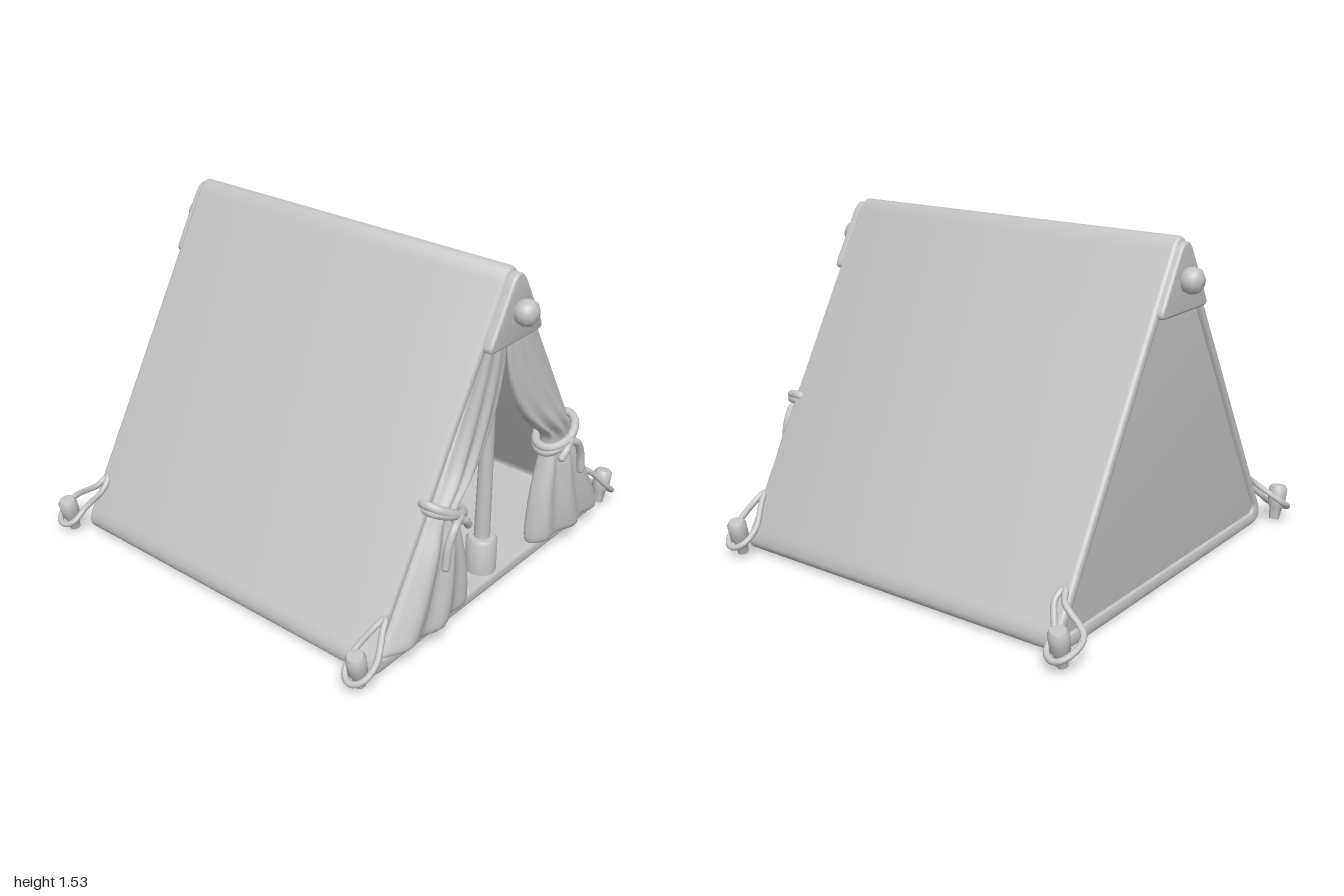
import * as THREE from 'three';
import { toCreasedNormals } from 'three/addons/utils/BufferGeometryUtils.js';

const SLOPE = 0.578; // half width gained per unit of height lost
const canvas = new THREE.MeshStandardMaterial({ color: 0xc4c4c4 });
canvas.name = 'plain grey';

function add(parent, name, geometry, x = 0, y = 0, z = 0) {
  const mesh = new THREE.Mesh(geometry, canvas);
  mesh.name = name;
  mesh.position.set(x, y, z);
  parent.add(mesh);
  return mesh;
}

// Triangle with rounded corners; base height, peak height, corner sizes
function roundTriangle(base, peak, top, corner, PathType = THREE.Shape) {
  const w = (peak - base) * SLOPE;
  const p = new PathType();
  p.moveTo(-w + corner, base);
  p.lineTo(w - corner, base);
  p.quadraticCurveTo(w, base, w - corner * SLOPE * 0.87, base + corner * 0.87);
  p.lineTo(top * SLOPE, peak - top);
  p.quadraticCurveTo(0, peak, -top * SLOPE, peak - top);
  p.lineTo(-w + corner * SLOPE * 0.87, base + corner * 0.87);
  p.quadraticCurveTo(-w, base, -w + corner, base);
  return p;
}

// Extrude a cross-section along x from x0 to x1
function alongX(shape, x0, x1, bevel) {
  const g = new THREE.ExtrudeGeometry(shape, {
    depth: x1 - x0 - 2 * bevel, bevelEnabled: true, bevelThickness: bevel,
    bevelSize: bevel, bevelOffset: -bevel, bevelSegments: 4, curveSegments: 14,
  });
  g.translate(0, 0, x0 + bevel);
  g.rotateY(Math.PI / 2);
  return toCreasedNormals(g, 0.7);
}

function rope(parent, name, points, radius, closed = false) {
  const curve = new THREE.CatmullRomCurve3(points.map((p) => new THREE.Vector3(...p)), closed);
  add(parent, name, new THREE.TubeGeometry(curve, 40, radius, 10, closed));
  if (!closed) {
    for (const p of [points[0], points[points.length - 1]]) {
      add(parent, name + 'End', new THREE.SphereGeometry(radius, 10, 8), ...p);
    }
  }
}

// Gathered curtain: lofted closed sections between the inner edge and the sloping rim
function curtainGeometry(side) {
  const edge = new THREE.CatmullRomCurve3([
    // bulge, height, inner edge
    [0.01, 1.25, 0.0], [0.02, 1.1, 0.015], [0.035, 0.95, 0.065], [0.05, 0.82, 0.14],
    [0.065, 0.72, 0.235], [0.065, 0.63, 0.335], [0.065, 0.57, 0.345], [0.08, 0.48, 0.325],
    [0.09, 0.33, 0.285], [0.095, 0.18, 0.265], [0.085, 0.11, 0.265], [0.0, 0.085, 0.29],
  ].map((p) => new THREE.Vector3(...p)));
  const rows = 48, half = 28, ring = half * 2;
  const pos = [], index = [];
  for (let r = 0; r <= rows; r++) {
    const p = edge.getPoint(r / rows);
    const bulge = Math.max(p.x, 0);
    const outer = 0.825 - (p.y - 0.1) * SLOPE;
    for (let i = 0; i < ring; i++) {
      const a = (i / ring) * Math.PI * 2;
      const u = 0.5 - 0.5 * Math.cos(a);
      const s = Math.sin(a);
      const front = s >= 0;
      const swell = Math.pow(Math.abs(s), 0.7);
      const fold = front ? 0.18 * bulge * Math.sin(u * 17 + p.y * 2) * swell : 0;
      const x = 0.85 + (front ? bulge * swell + fold : -bulge * 0.6 * swell);
      pos.push(x, p.y, side * (p.z + (outer - p.z) * u));
    }
  }
  for (let r = 0; r < rows; r++) {
    for (let i = 0; i < ring; i++) {
      const a = r * ring + i, b = r * ring + ((i + 1) % ring), c = a + ring, d = b + ring;
      if (side > 0) index.push(a, b, c, b, d, c);
      else index.push(a, c, b, b, c, d);
    }
  }
  const g = new THREE.BufferGeometry();
  g.setAttribute('position', new THREE.Float32BufferAttribute(pos, 3));
  g.setIndex(index);
  g.computeVertexNormals();
  return g;
}

function curtain(side) {
  const group = new THREE.Group();
  group.name = side > 0 ? 'frontCurtain' : 'rearCurtain';
  add(group, 'curtainCloth', curtainGeometry(side));
  // Two wraps of the tie around the bundle
  for (const tilt of [0.035, 0.06]) {
    const loop = [];
    for (let i = 0; i < 12; i++) {
      const a = (i / 12) * Math.PI * 2;
      loop.push([0.86 + 0.078 * Math.sin(a), 0.615 + tilt * Math.cos(a), side * (0.425 + 0.1 * Math.cos(a))]);
    }
    rope(group, 'curtainTie', loop, 0.02, true);
  }
  // Knot and hanging ends
  add(group, 'tieKnot', new THREE.SphereGeometry(0.03, 16, 12), 0.935, 0.6, side * 0.42);
  rope(group, 'tieTail', [[0.94, 0.6, side * 0.41], [0.955, 0.58, side * 0.46],
    [0.955, 0.51, side * 0.5], [0.955, 0.415, side * 0.515]], 0.018);
  rope(group, 'tieTail', [[0.94, 0.6, side * 0.43], [0.95, 0.57, side * 0.38], [0.945, 0.54, side * 0.355]], 0.018);
  return group;
}

// Ground peg with the guy rope looped around it
function cornerPeg(sx, sz) {
  const group = new THREE.Group();
  group.name = 'cornerPeg';
  const px = sx > 0 ? 0.845 : -0.94, ax = sx > 0 ? 0.85 : -0.85;
  const profile = [[0, 0], [0.024, 0.004], [0.03, 0.06], [0.042, 0.08], [0.044, 0.155], [0.034, 0.172], [0, 0.176]];
  const peg = new THREE.LatheGeometry(profile.map((p) => new THREE.Vector2(...p)), 20);
  const mesh = add(group, 'peg', toCreasedNormals(peg, 0.8), px, 0.01, sz * 0.915);
  mesh.rotation.x = sz * 0.2;
  const lean = sx > 0 ? 0 : -0.03;
  rope(group, 'guyRope', [
    [ax, 0.26, sz * 0.765], [ax - 0.025, 0.22, sz * 0.81], [px - 0.06, 0.13, sz * 0.89 + lean * sz],
    [px - 0.045, 0.075, sz * 0.96], [px, 0.06, sz * 0.983], [px + 0.045, 0.075, sz * 0.96],
    [px + 0.06, 0.13, sz * 0.89], [ax + 0.02, 0.22, sz * 0.81],
  ], 0.014, true);
  return group;
}

export function createModel() {
  const tent = new THREE.Group();
  tent.name = 'tent';

  // Hollow canvas body, open at +x
  const shell = roundTriangle(0.005, 1.588, 0.1, 0.13);
  shell.holes.push(roundTriangle(0.07, 1.488, 0.06, 0.06, THREE.Path));
  add(tent, 'canvasShell', alongX(shell, -0.885, 0.86, 0.02));
  add(tent, 'backWall', alongX(roundTriangle(0.03, 1.54, 0.08, 0.1), -0.87, -0.83, 0.008));

  // Groundsheet rising gently towards the back
  const floor = new THREE.BoxGeometry(1.68, 0.04, 1.58);
  floor.rotateZ(-0.045);
  add(tent, 'groundsheet', floor, 0, 0.085, 0);

  // Gable plates with the ridge pole knobs
  for (const s of [-1, 1]) {
    const x0 = s > 0 ? 0.84 : -0.91, x1 = s > 0 ? 0.9 : -0.85;
    add(tent, 'gablePlate', alongX(roundTriangle(1.22, 1.57, 0.1, 0.05), x0, x1, 0.012));
    const knob = new THREE.LatheGeometry([[0.04, 0], [0.04, 0.045], [0.052, 0.055], [0.058, 0.08],
      [0.052, 0.108], [0.03, 0.126], [0, 0.13]].map((p) => new THREE.Vector2(...p)), 24);
    knob.rotateZ(-s * Math.PI / 2);
    add(tent, 'ridgeKnob', knob, s * 0.855, 1.36, 0);
  }

  // Door pole in its socket
  add(tent, 'doorPole', new THREE.CylinderGeometry(0.026, 0.038, 1.2, 20), 0.78, 0.68, 0);
  const socket = new THREE.LatheGeometry([[0.07, 0], [0.07, 0.16], [0.06, 0.175], [0, 0.178]]
    .map((p) => new THREE.Vector2(...p)), 24);
  add(tent, 'poleSocket', toCreasedNormals(socket, 0.7), 0.78, 0.065, 0);

  for (const s of [-1, 1]) {
    tent.add(curtain(s));
    for (const sx of [-1, 1]) tent.add(cornerPeg(sx, s));
  }
  return tent;
}
